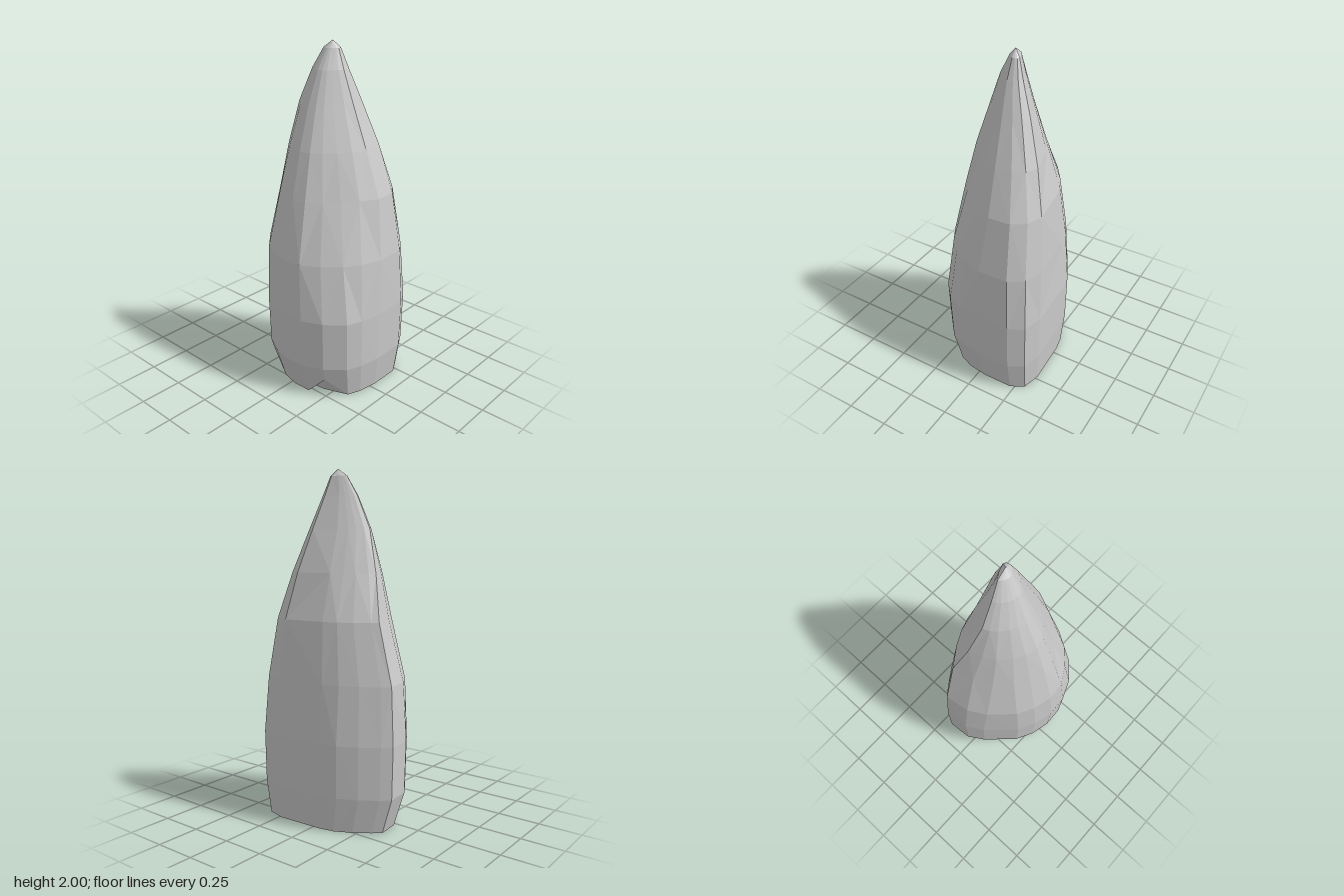
import * as THREE from 'three';

// Outlines [x, z] at three heights: left ridge, front, right, back ridge, flat back left side
const LOWER = [
  [-0.42, -0.145], [-0.41, 0], [-0.35, 0.1], [-0.2, 0.26], [-0.1, 0.315], [0.02, 0.345],
  [0.14, 0.34], [0.26, 0.29], [0.365, 0.2], [0.4, 0.11], [0.42, -0.02], [0.42, -0.23],
  [0.37, -0.32], [0.25, -0.35], [-0.06, -0.335], [-0.16, -0.315], [-0.27, -0.26], [-0.37, -0.19],
];
const MIDDLE = [
  [-0.315, -0.13], [-0.29, 0], [-0.24, 0.1], [-0.16, 0.185], [-0.08, 0.23], [0.01, 0.257],
  [0.09, 0.245], [0.165, 0.185], [0.235, 0.115], [0.3, 0.035], [0.35, -0.07], [0.345, -0.2],
  [0.29, -0.275], [0.2, -0.31], [-0.04, -0.275], [-0.12, -0.25], [-0.2, -0.21], [-0.28, -0.155],
];
const UPPER = [
  [-0.17, -0.02], [-0.155, 0.015], [-0.13, 0.05], [-0.085, 0.085], [-0.045, 0.105], [0, 0.115],
  [0.045, 0.105], [0.08, 0.08], [0.115, 0.04], [0.15, -0.005], [0.175, -0.05], [0.17, -0.11],
  [0.15, -0.155], [0.105, -0.18], [-0.03, -0.13], [-0.08, -0.1], [-0.115, -0.075], [-0.15, -0.045],
];
// Extents of each ring: height, min x, max x, min z, max z
const RINGS = [
  [0, -0.36, 0.385, -0.33, 0.28],
  [0.2, -0.415, 0.415, -0.342, 0.335],
  [0.5, -0.42, 0.42, -0.345, 0.347],
  [0.83, -0.4, 0.405, -0.335, 0.33],
  [1.17, -0.315, 0.35, -0.31, 0.257],
  [1.43, -0.242, 0.262, -0.255, 0.193],
  [1.67, -0.17, 0.175, -0.18, 0.115],
  [1.85, -0.09, 0.112, -0.115, 0.05],
  [1.96, -0.028, 0.07, -0.08, -0.008],
];
const N = LOWER.length;
// Chips broken out of the front of the base: outline point and height
const CHIPS = { 2: 0.03, 3: 0.13, 7: 0.12 };
const { lerp, clamp } = THREE.MathUtils;

// Scale an outline to the range -1..1 on both axes
function normalise(points) {
  const box = new THREE.Box2().setFromPoints(points.map(p => new THREE.Vector2(...p)));
  const c = box.getCenter(new THREE.Vector2());
  const s = box.getSize(new THREE.Vector2());
  return points.map(([x, z]) => [2 * (x - c.x) / s.x, 2 * (z - c.y) / s.y]);
}

export function createModel() {
  const low = normalise(LOWER), mid = normalise(MIDDLE), high = normalise(UPPER);
  const positions = [], index = [];

  // Rings, blending from the lower outline through the middle to the upper one
  RINGS.forEach((ring, r) => {
    const s = clamp((ring[0] - 0.5) / 0.67, 0, 1);
    const t = clamp((ring[0] - 1.17) / 0.5, 0, 1);
    for (let i = 0; i < N; i++) {
      const [u, v] = [0, 1].map(k => lerp(lerp(low[i][k], mid[i][k], s), high[i][k], t));
      // A chipped point slides up the wall towards the next ring
      const lift = r === 0 ? (CHIPS[i] ?? 0) / RINGS[1][0] : 0;
      const [y, x0, x1, z0, z1] = ring.map((e, k) => lift ? lerp(e, RINGS[1][k], lift) : e);
      positions.push((x0 + x1) / 2 + u * (x1 - x0) / 2, y, (z0 + z1) / 2 + v * (z1 - z0) / 2);
    }
  });

  // Sides, with alternating diagonals for diamond-like facets
  for (let r = 0; r < RINGS.length - 1; r++) {
    for (let i = 0; i < N; i++) {
      const j = (i + 1) % N;
      const a = r * N + i, b = r * N + j, c = b + N, d = a + N;
      if ((r + i) % 2) index.push(a, b, c, a, c, d);
      else index.push(a, b, d, b, c, d);
    }
  }

  // Tip
  const top = (RINGS.length - 1) * N;
  const apex = positions.length / 3;
  positions.push(0.03, 2, -0.045);
  for (let i = 0; i < N; i++) index.push(top + i, top + (i + 1) % N, apex);

  // Flat underside with an inner ring, so the chips stay near the edge
  const inner = apex + 1;
  for (let i = 0; i < N; i++) positions.push(positions[i * 3] * 0.78, 0, positions[i * 3 + 2] * 0.78);
  const centre = inner + N;
  positions.push(0, 0, 0);
  for (let i = 0; i < N; i++) {
    const j = (i + 1) % N;
    index.push(i, inner + i, j, j, inner + i, inner + j);
    index.push(inner + i, centre, inner + j);
  }

  let geometry = new THREE.BufferGeometry();
  geometry.setAttribute('position', new THREE.Float32BufferAttribute(positions, 3));
  geometry.setIndex(index);
  geometry = geometry.toNonIndexed();
  geometry.computeVertexNormals();

  const stone = new THREE.MeshStandardMaterial({ color: 0xcacaca });
  stone.name = 'stone grey';
  stone.flatShading = true;

  const rock = new THREE.Mesh(geometry, stone);
  rock.name = 'standingStone';
  const group = new THREE.Group();
  group.name = 'pointedRock';
  group.add(rock);
  return group;
}
